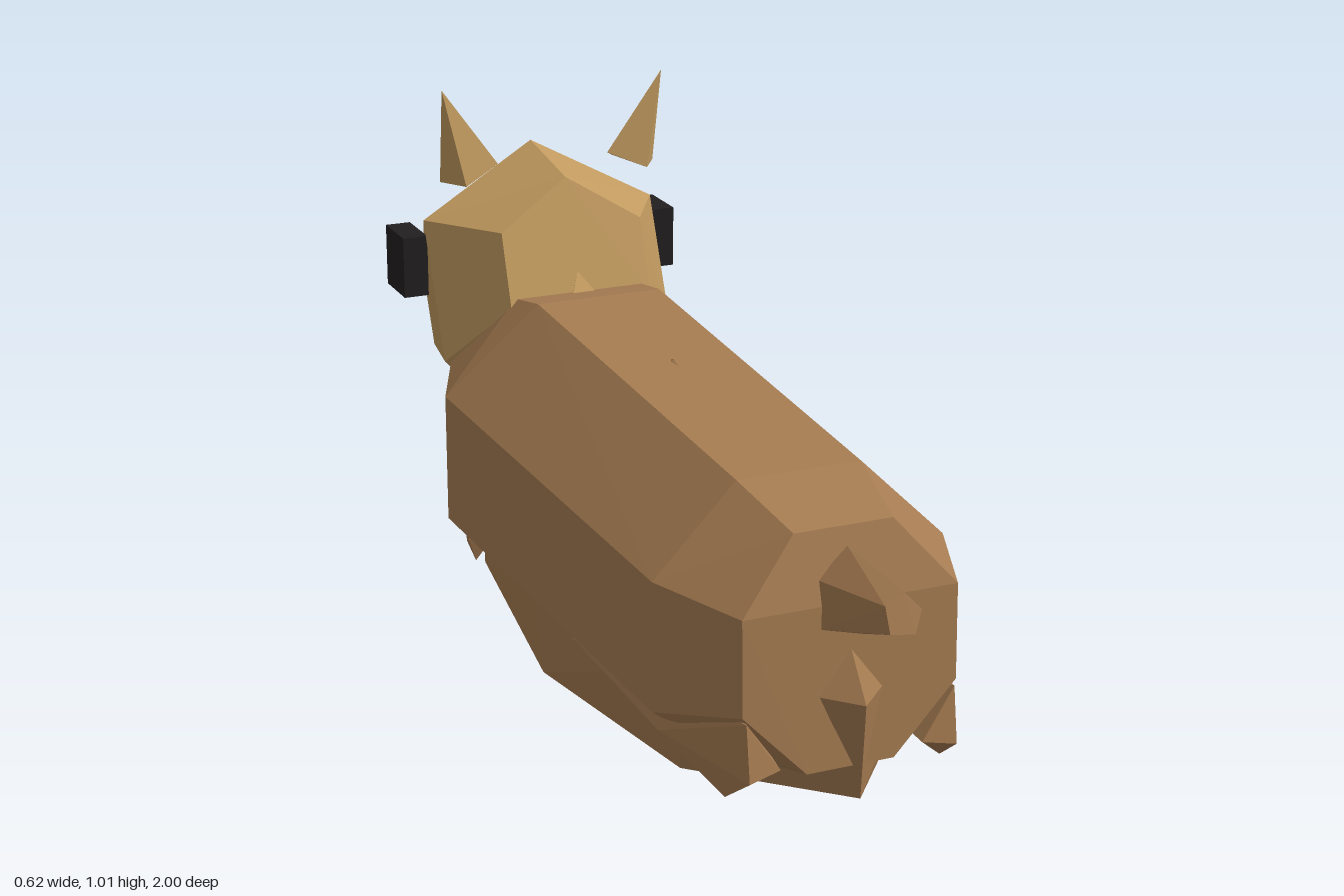
import * as THREE from 'three';
import { ConvexGeometry } from 'three/addons/geometries/ConvexGeometry.js';

const mat = (color) => new THREE.MeshStandardMaterial({ color, flatShading: true });

export function createModel() {
  const model = new THREE.Group();
  const coat = mat(0xa67c52), face = mat(0xc19a5f), dark = mat(0x18181a), eyeDark = mat(0x221f20);
  const CX = -0.01; // the animal's midline

  const add = (name, geometry, material) => {
    const mesh = new THREE.Mesh(geometry, material);
    mesh.name = name;
    model.add(mesh);
    return mesh;
  };
  // Faceted solid around a handful of corners
  const hull = (name, points, material) =>
    add(name, new ConvexGeometry(points.map((p) => new THREE.Vector3(p[0] + CX, p[1], p[2]))), material);
  // Corners repeated on both sides of the midline
  const both = (points) => points.flatMap(([x, y, z]) => (x ? [[x, y, z], [-x, y, z]] : [[0, y, z]]));

  // Octagonal trunk, rump to chest
  hull('body', both([
    [0.09, 0.55, 0.785], [0.195, 0.43, 0.82], [0.195, 0.26, 0.825], [0.08, 0.14, 0.83],
    [0.115, 0.587, 0.62], [0.27, 0.435, 0.63], [0.27, 0.2, 0.63], [0.11, 0.08, 0.6],
    [0.125, 0.635, -0.26], [0.302, 0.46, -0.3], [0.302, 0.21, -0.3], [0.12, 0.032, -0.33],
    [0.13, 0.615, -0.37], [0.23, 0.47, -0.47], [0.2, 0.28, -0.56], [0.1, 0.14, -0.55],
  ]), coat);

  // Rounded eight-sided belly: its widest corners poke through the rump and one flank
  hull('belly', [
    ...both([
      [0, 0, 0.16],
      [0, 0.07, -0.56], [0.2, 0.07, -0.38], [0.28, 0.07, 0.15], [0.205, 0.07, 0.6],
      [0, 0.2, -0.575], [0.2, 0.28, -0.4], [0.24, 0.28, 0.65], [0, 0.27, 0.88],
      [0.2, 0.47, 0.13], [0, 0.46, 0.74], [0, 0.46, -0.45], [0, 0.62, 0.1],
    ]),
    [0.025, 0.07, 0.82], [0.32, 0.28, 0.1], [-0.285, 0.28, 0.1],
  ], coat);

  // Tucked legs
  for (const s of [-1, 1]) {
    const side = s > 0 ? 'left' : 'right';
    hull(side + 'FrontLeg', [
      [s * 0.18, 0.28, -0.56], [s * 0.18, 0.175, -0.58], [s * 0.22, 0.1, -0.43], [s * 0.23, 0.09, -0.35],
      [s * 0.15, 0.1, -0.48], [s * 0.295, 0.2, -0.2], [s * 0.1, 0.2, -0.4],
    ], coat);
    hull(side + 'HindLeg', [
      [s * 0.19, 0.25, 0.83], [s * 0.19, 0.15, 0.845], [s * 0.2, 0.095, 0.77], [s * 0.13, 0.16, 0.835],
      [s * 0.255, 0.16, 0.62], [s * 0.28, 0.2, 0.3], [s * 0.1, 0.2, 0.5],
    ], coat);
  }

  // Tail
  hull('tail', [
    [-0.055, 0.47, 0.8], [0, 0.52, 0.8], [0.068, 0.43, 0.8], [0.02, 0.37, 0.82], [-0.055, 0.39, 0.82],
    [-0.03, 0.495, 0.99], [0.005, 0.512, 0.985], [0.035, 0.48, 0.99], [0.02, 0.443, 1], [-0.025, 0.45, 1],
  ], coat);

  // Ridged head tapering to the muzzle
  hull('head', both([
    [0, 0.83, -0.43], [0.145, 0.74, -0.4], [0.145, 0.6, -0.352], [0.1, 0.47, -0.44],
    [0, 0.86, -0.62], [0.243, 0.73, -0.58], [0.243, 0.47, -0.47], [0.12, 0.34, -0.55],
    [0, 0.535, -0.975], [0.12, 0.5, -0.96], [0.12, 0.36, -0.9], [0.06, 0.3, -0.87],
  ]), face);
  hull('nape', [[-0.03, 0.6, -0.33], [0.04, 0.6, -0.33], [0, 0.655, -0.37], [0, 0.6, -0.4]], face);
  hull('nose', both([
    [0, 0.535, -0.975], [0.12, 0.5, -0.96], [0.12, 0.36, -0.9], [0.06, 0.3, -0.87],
    [0, 0.51, -1], [0.095, 0.48, -0.995], [0.095, 0.37, -0.96], [0.05, 0.305, -0.935],
  ]), dark);

  // Block eyes and pointed ears
  for (const s of [-1, 1]) {
    const side = s > 0 ? 'left' : 'right';
    const eye = add(side + 'Eye', new THREE.BoxGeometry(0.05, 0.122, 0.108), eyeDark);
    eye.position.set(CX + s * 0.265, 0.64, -0.622);
    hull(side + 'Ear', [
      [s * 0.229, 1.01, -0.49], [s * 0.225, 0.82, -0.525], [s * 0.19, 0.82, -0.47],
      [s * 0.115, 0.852, -0.495], [s * 0.155, 0.825, -0.575],
    ], face);
  }
  return model;
}
